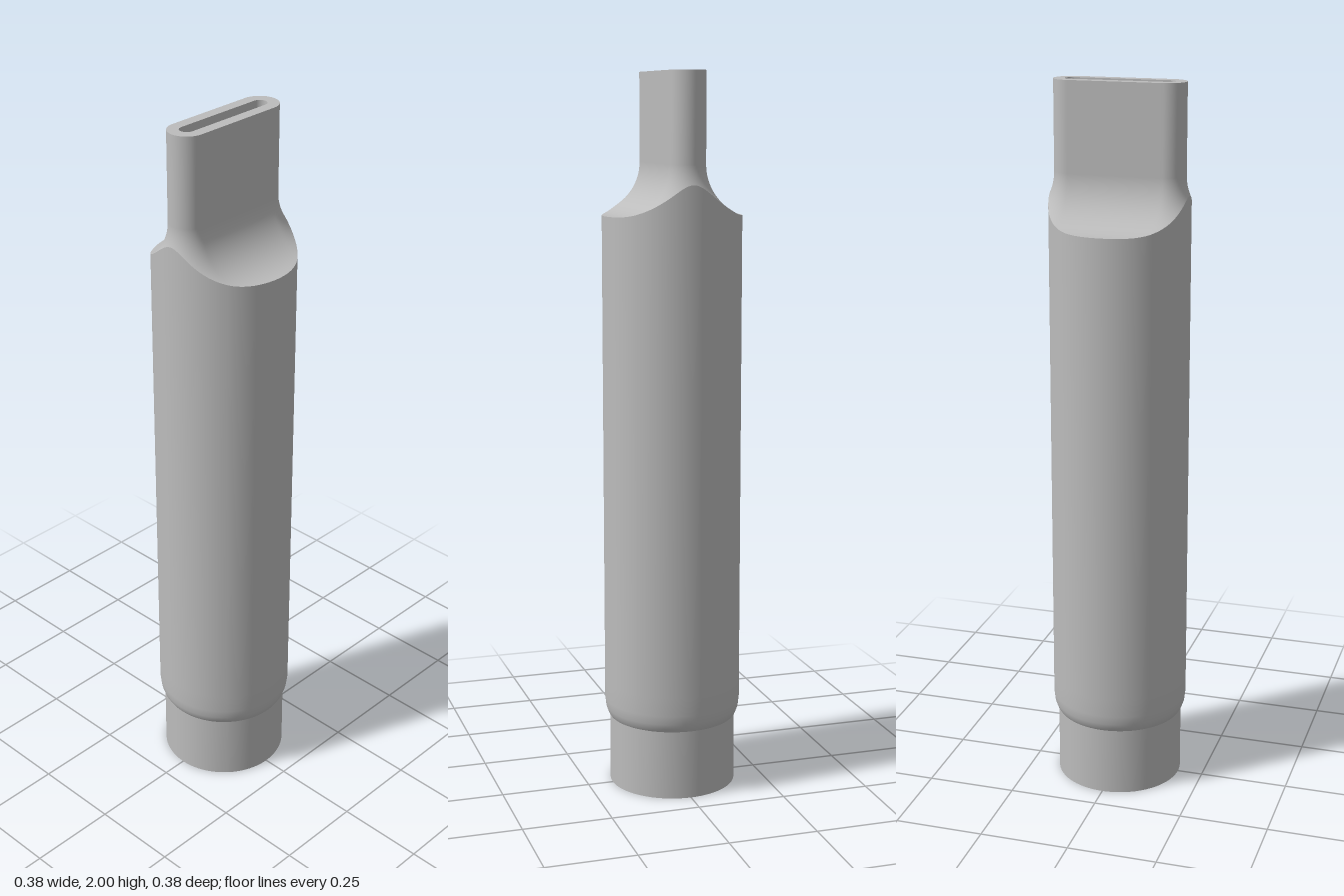
import * as THREE from 'three';

const R = 0.192;            // body radius
const BASE_R = 0.178;       // radius of the narrower base
const HALF = 0.131;         // half length of the blade's straight sides
const BLADE_R = 0.051;      // half thickness of the blade
const SLOT_R = 0.02;        // half thickness of the slot
const FILLET = 0.14;        // radius of the concave shoulder
const BLADE_Y = 1.755;      // where the shoulder meets the blade
const TOP = 2;
const SLOT_FLOOR = 1.8;

// Directions around a rounded slot: cap centre (cx) and outward normal (nx, nz).
function makeOutline(caps = 32, sides = 32) {
  const out = [];
  for (const s of [1, -1]) {
    for (let i = 0; i < caps; i++) {
      const a = -Math.PI / 2 + (i / caps) * Math.PI;
      out.push({ cx: s * HALF, nx: s * Math.cos(a), nz: s * Math.sin(a) });
    }
    for (let i = 0; i < sides; i++) {
      out.push({ cx: s * HALF * (1 - (2 * i) / sides), nx: 0, nz: s });
    }
  }
  return out;
}

// Distance from the centre line, along the normal, to the body's wall.
function reach(o) {
  const b = o.cx * o.nx;
  return -b + Math.sqrt(b * b + R * R - o.cx * o.cx);
}

const outline = makeOutline();

// Ring of the rounded slot shape with radius r.
const slotRing = (r, y) => outline.map((o) => [o.cx + o.nx * r, y, o.nz * r]);

// Round ring, aligned point by point with the slot shape.
const roundRing = (r, y) => outline.map((o) => {
  const d = reach(o), k = r / R;
  return [(o.cx + o.nx * d) * k, y, o.nz * d * k];
});

// Ring on the shoulder: t = 0 at the body's rim, t = 1 at the blade.
const shoulderRing = (t) => outline.map((o) => {
  const dMax = Math.min(reach(o) - BLADE_R, FILLET);
  const a = Math.acos(1 - dMax / FILLET) * (1 - t);
  const r = BLADE_R + FILLET * (1 - Math.cos(a));
  // the rim lies exactly on the body's wall
  const d = t === 0 ? reach(o) : r;
  return [o.cx + o.nx * d, BLADE_Y - FILLET * Math.sin(a), o.nz * d];
});

// Closed skin through a list of rings.
function loft(rings) {
  const n = outline.length, index = [];
  for (let j = 0; j < rings.length - 1; j++) {
    for (let i = 0; i < n; i++) {
      const k = (i + 1) % n;
      const a = j * n + i, b = j * n + k, c = a + n, d = b + n;
      index.push(a, c, b, b, c, d);
    }
  }
  const g = new THREE.BufferGeometry();
  g.setAttribute('position', new THREE.Float32BufferAttribute(rings.flat(2), 3));
  g.setIndex(index);
  g.computeVertexNormals();
  return g;
}

export function createModel() {
  const group = new THREE.Group();
  const grey = new THREE.MeshStandardMaterial({ color: 0xbcbcbc });
  grey.name = 'light grey';

  const add = (name, rings) => {
    const mesh = new THREE.Mesh(loft(rings), grey);
    mesh.name = name;
    group.add(mesh);
  };

  // Narrow base with its flat underside
  add('baseUnderside', [roundRing(0, 0), roundRing(BASE_R, 0)]);
  add('base', [roundRing(BASE_R, 0), roundRing(BASE_R, 0.195)]);

  // Round body with a softened lower edge, cut off by the shoulder
  const rim = shoulderRing(0);
  add('body', [
    roundRing(BASE_R, 0.195), roundRing(0.184, 0.205), roundRing(0.189, 0.22),
    roundRing(R, 0.245), roundRing(R, 0.3), rim,
  ]);

  // Concave shoulder flowing into the flat blade
  const steps = 20;
  const skin = [];
  for (let i = 0; i <= steps; i++) skin.push(shoulderRing(i / steps));
  skin.push(slotRing(BLADE_R, TOP));
  add('shoulderAndBlade', skin);

  // Flat top with a recessed slot
  add('bladeTop', [slotRing(BLADE_R, TOP), slotRing(SLOT_R, TOP)]);
  add('slotWall', [slotRing(SLOT_R, TOP), slotRing(SLOT_R, SLOT_FLOOR)]);
  add('slotFloor', [slotRing(SLOT_R, SLOT_FLOOR), slotRing(0, SLOT_FLOOR)]);

  return group;
}
